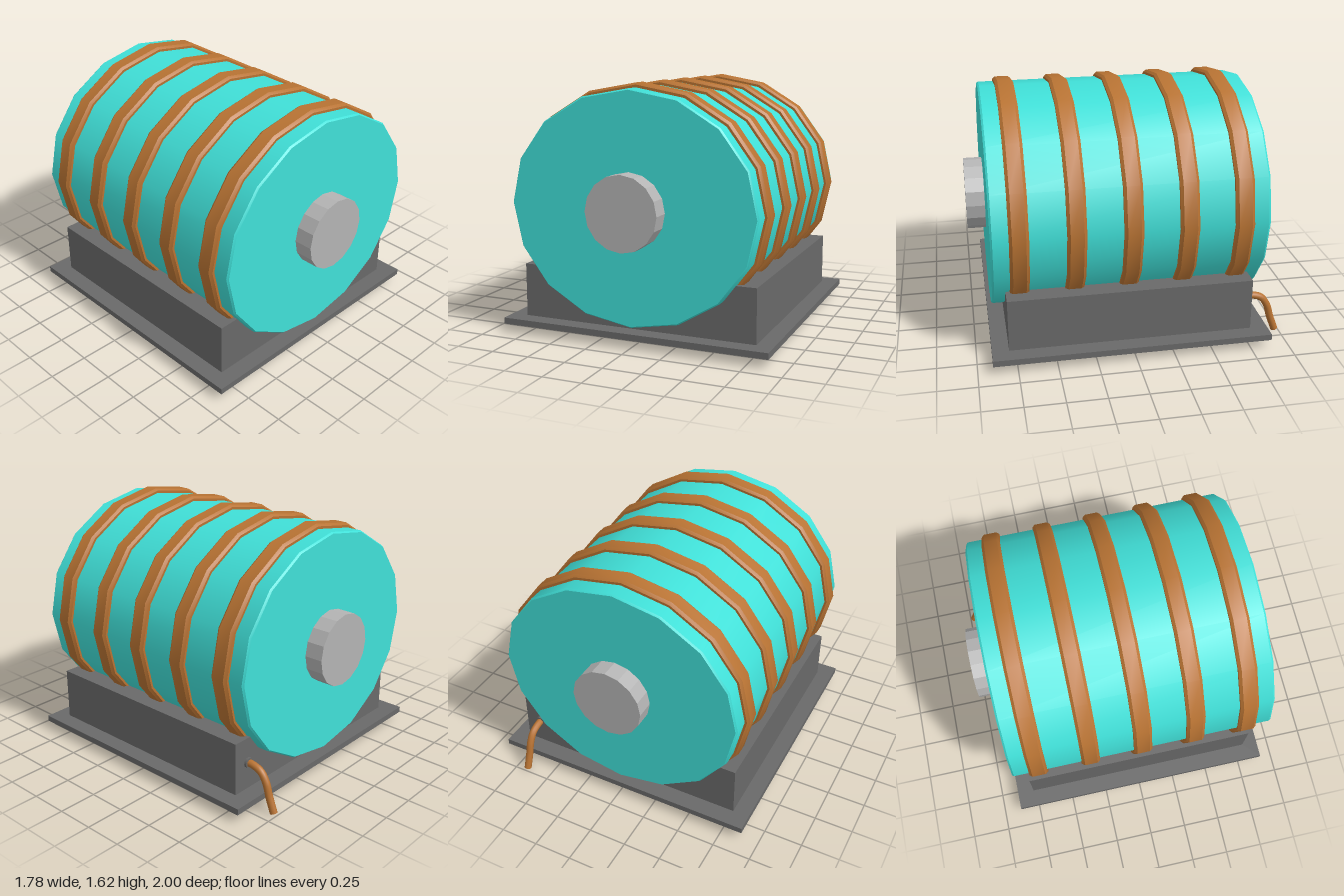
import * as THREE from 'three';
import { toCreasedNormals } from 'three/addons/utils/BufferGeometryUtils.js';

const SIDES = 16;
const AXIS_Y = 0.86;

const material = (color, flatShading = false) =>
  new THREE.MeshStandardMaterial({ color, flatShading });

export function createModel() {
  const model = new THREE.Group();
  const turquoise = material(0x40e0d8);
  const copper = material(0xb87333);
  const darkGrey = material(0x696969);
  const steel = material(0xb4b4b4, true);

  function add(name, geometry, mat, x = 0, y = 0, z = 0) {
    const mesh = new THREE.Mesh(geometry, mat);
    mesh.name = name;
    mesh.position.set(x, y, z);
    model.add(mesh);
    return mesh;
  }

  // Bevelled 16-sided disc lying along z, stretched to an oval section
  function ovalDisc(rx, ry, length, bevel) {
    const h = length / 2;
    const profile = [[0, -h], [1 - bevel, -h], [1, -h + bevel], [1, h - bevel], [1 - bevel, h], [0, h]]
      .map(([r, y]) => new THREE.Vector2(r, y));
    const geometry = new THREE.LatheGeometry(profile, SIDES);
    geometry.rotateX(-Math.PI / 2);
    geometry.scale(rx, ry, 1);
    return toCreasedNormals(geometry, 0.5);
  }

  function box(name, w, h, d, y, z) {
    add(name, new THREE.BoxGeometry(w, h, d), darkGrey, 0, y, z);
  }

  // Base plate and cradle block
  box('basePlate', 1.78, 0.04, 1.785, 0.08, 0.0125);
  box('cradleBlock', 1.565, 0.345, 1.565, 0.2725, 0.015);

  // Drum and its copper bands
  add('drum', ovalDisc(0.815, 0.73, 1.73, 0.012), turquoise, 0, AXIS_Y, 0.015);
  for (let i = -2; i <= 2; i++) {
    add('copperBand', ovalDisc(0.845, 0.76, 0.12, 0.018), copper, 0, AXIS_Y, 0.015 + i * 0.3475);
  }

  // Shaft running through the drum
  const shaft = new THREE.CylinderGeometry(0.235, 0.235, 1.97, SIDES);
  shaft.rotateX(-Math.PI / 2);
  add('shaft', shaft, steel, 0, AXIS_Y, 0.015);

  // Bent copper cable leaving the back of the block
  const path = new THREE.CatmullRomCurve3([
    [0.28, -0.75], [0.277, -0.81], [0.255, -0.87], [0.195, -0.912], [0.11, -0.938], [0.01, -0.975],
  ].map(([y, z]) => new THREE.Vector3(0.67, y, z)));
  add('cable', new THREE.TubeGeometry(path, 24, 0.024, 10), copper);

  // Cable end cap
  const end = path.getPoint(1);
  const cap = add('cableEnd', new THREE.CircleGeometry(0.024, 10), copper, end.x, end.y, end.z);
  cap.quaternion.setFromUnitVectors(new THREE.Vector3(0, 0, 1), path.getTangent(1));

  // Collar where the cable meets the block
  const collar = new THREE.CylinderGeometry(0.034, 0.034, 0.03, 12);
  collar.rotateX(Math.PI / 2);
  add('cableCollar', collar, darkGrey, 0.67, 0.28, -0.768);

  return model;
}
